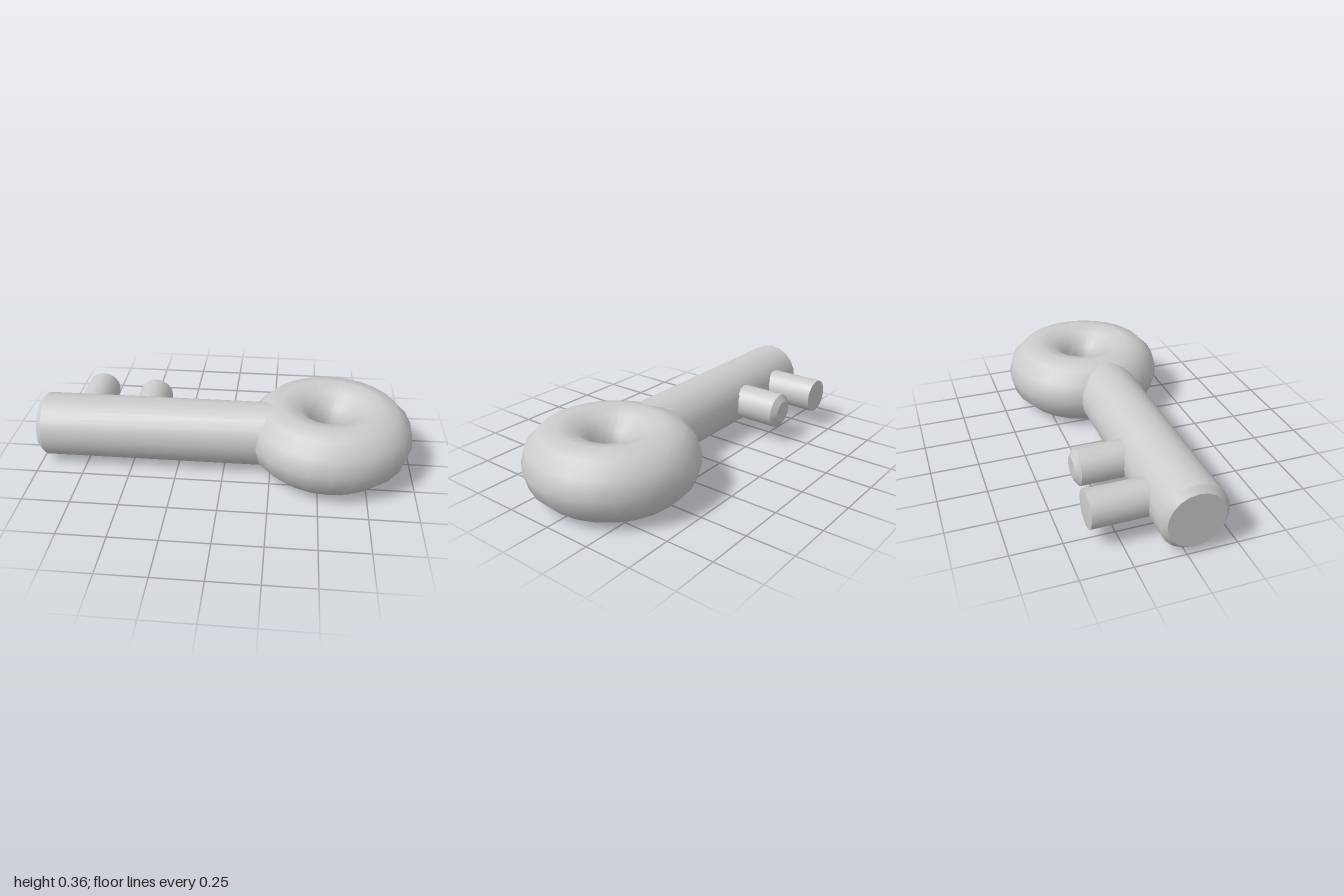
import * as THREE from 'three';
import { toCreasedNormals } from 'three/addons/utils/BufferGeometryUtils.js';

const material = new THREE.MeshStandardMaterial({ color: 0xcccccc });
const AXIS_Y = 0.18;
const SHAFT_Z = 0.04;

// Round bar turned from a [radius, height] profile, smooth around with sharp rims
function turned(name, profile, segments) {
  const points = profile.map(([r, h]) => new THREE.Vector2(r, h));
  const geometry = toCreasedNormals(new THREE.LatheGeometry(points, segments), 0.6);
  const mesh = new THREE.Mesh(geometry, material);
  mesh.name = name;
  return mesh;
}

export function createModel() {
  const group = new THREE.Group();
  group.name = 'key';

  // Ring-shaped bow lying flat
  const bow = new THREE.Mesh(new THREE.TorusGeometry(0.26, 0.18, 12, 24), material);
  bow.name = 'bow';
  bow.rotation.x = -Math.PI / 2;
  bow.position.set(0.557, AXIS_Y, 0);
  group.add(bow);

  // Shaft running towards -x, with a chamfered free end
  const shaft = turned('shaft', [[0, 0], [0.17, 0], [0.17, 1.27], [0.142, 1.3], [0, 1.3]], 20);
  shaft.rotation.z = Math.PI / 2;
  shaft.position.set(0.3, AXIS_Y, SHAFT_Z);
  group.add(shaft);

  // Two teeth pointing backwards: the outer one with a shallow cone, the inner one chamfered
  const teeth = [
    ['outerTooth', -0.765, [[0, 0], [0.093, 0], [0.093, 0.435], [0, 0.446]]],
    ['innerTooth', -0.44, [[0, 0], [0.095, 0], [0.095, 0.38], [0.058, 0.405], [0, 0.405]]],
  ];
  for (const [name, x, profile] of teeth) {
    const tooth = turned(name, profile, 16);
    tooth.rotation.x = -Math.PI / 2;
    tooth.position.set(x, AXIS_Y, SHAFT_Z);
    group.add(tooth);
  }

  return group;
}
